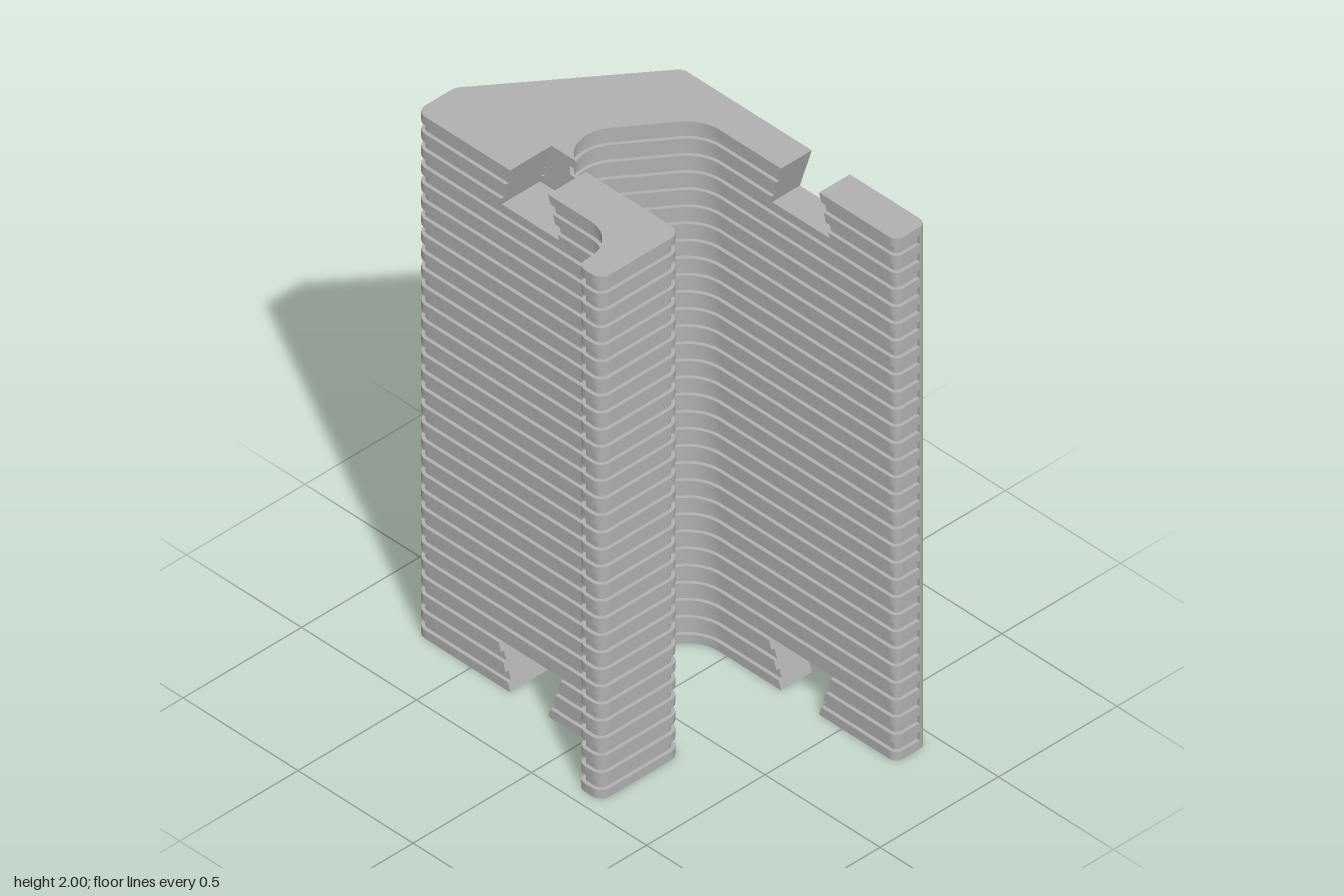
import * as THREE from 'three';
import { mergeGeometries } from 'three/addons/utils/BufferGeometryUtils.js';

const LAYERS = 61;            // alternating ribs and grooves
const H = 2 / LAYERS;         // height of one layer
const NOTCH = 5;              // layers taken up by the dovetails at each end
const GROOVE = 0.013;         // depth of the grooves
const POCKET = 0.095;         // rear wall of the front dovetail

// Corners as [x, z, fillet radius, options], running clockwise seen from above
const A = [-0.74, 0.27, 0.04], B = [-0.74, 0.105, 0.05];
const C = [-0.325, -0.455, 0.04, { plain: 'in' }];
const D = [0.735, -0.455, 0.03, { plain: 'out' }];
const E = [0.735, -0.325, 0.03], F = [-0.1025, -0.325, 0.14];
const G = [-0.417, 0.11, 0.128];
const I = [0.25, 0.11, 0.045], J = [0.25, 0.45, 0.04];
const K = [0.145, 0.45, 0.035], L = [0.145, 0.27, 0.125];

// Square corner beside a dovetail; nz is the direction of the ribbed face there
const cut = (x, z, nz) => [x, z, 0, { nz }];
const fullProfile = [A, B, C, D, E, F, G, I, J, K, L];
const endProfiles = {
  mainEnd: [A, B, C, cut(0.235, -0.455, 0), cut(0.235, -0.325, 1), F,
    [G[0], G[1], G[2], { trim: true }], cut(-0.33, POCKET, 0), cut(-0.33, 0.27, 1)],
  hookEnd: [cut(-0.165, 0.27, 1), cut(-0.165, 0.11, -1), I, J, K, L],
  backArmEnd: [cut(0.4, -0.325, 1), cut(0.4, -0.455, 0), D, E],
};
// How far each dovetail side leans outward at its floor
const lean = { '0.235': -0.052, '0.400': 0.05, '-0.330': -0.05, '-0.165': 0.053 };

// Filleted outline, sunk by d along its normals except on the plain back
function outline(corners, d) {
  const pts = [];
  const add = (x, z, nx, nz, depth) => pts.push(new THREE.Vector2(x - nx * depth, z - nz * depth));
  corners.forEach(([x, z, r, o = {}], i) => {
    if (r === 0) return add(x, z, 0, o.nz, d);
    const n = corners.length;
    const p = new THREE.Vector2(x, z);
    let prev = corners[(i + n - 1) % n];
    // the trimmed fillet meets the straight face that would follow it
    const next = o.trim ? [x + 1, z] : corners[(i + 1) % n];
    const u1 = p.clone().sub(new THREE.Vector2(prev[0], prev[1])).normalize();
    const u2 = new THREE.Vector2(next[0], next[1]).sub(p).normalize();
    const turn = Math.atan2(u1.cross(u2), u1.dot(u2));
    const s = Math.sign(turn), t = r * Math.tan(Math.abs(turn) / 2);
    const a1 = Math.atan2(-u1.x, u1.y);
    const cx = x - u1.x * t - s * r * Math.cos(a1);
    const cz = z - u1.y * t - s * r * Math.sin(a1);
    const seg = r > 0.1 ? 16 : 6;
    const at = (k, depth) => {
      const a = a1 + turn * k / seg, nx = Math.cos(a), nz = Math.sin(a);
      add(cx + s * r * nx, cz + s * r * nz, nx, nz, depth);
    };
    if (o.plain === 'in') at(0, d);
    for (let k = 0; k <= seg; k++) at(k, o.plain ? 0 : d);
    if (o.plain === 'out') at(seg, d);
    if (o.trim) {
      // stop the curve at the pocket wall
      while (pts[pts.length - 1].y > POCKET) pts.pop();
      const dz = POCKET - cz, R = r + d;
      pts.push(new THREE.Vector2(cx - Math.sqrt(R * R - dz * dz), POCKET));
    }
  });
  return pts;
}

// One slab of the profile between two heights
function slab(corners, layer, leaning) {
  const pts = outline(corners, layer % 2 ? GROOVE : 0);
  const shape = new THREE.Shape(pts.map(p => new THREE.Vector2(p.x, -p.y)));
  const geo = new THREE.ExtrudeGeometry(shape, { depth: H, bevelEnabled: false });
  geo.rotateX(-Math.PI / 2);
  geo.translate(0, layer * H, 0);
  if (leaning) {
    const pos = geo.attributes.position;
    for (let i = 0; i < pos.count; i++) {
      const shift = lean[pos.getX(i).toFixed(3)];
      if (shift === undefined) continue;
      const y = pos.getY(i);
      pos.setX(i, pos.getX(i) + shift * Math.min(y, 2 - y) / (NOTCH * H));
    }
    geo.computeVertexNormals();
  }
  return geo;
}

export function createModel() {
  const group = new THREE.Group();
  group.name = 'ribbedHookProfile';
  const grey = new THREE.MeshStandardMaterial({ color: 0xb0b0b0 });
  grey.name = 'grey';

  const addPart = (name, corners, from, to, leaning) => {
    const slabs = [];
    for (let i = from; i < to; i++) slabs.push(slab(corners, i, leaning));
    const mesh = new THREE.Mesh(mergeGeometries(slabs), grey);
    mesh.name = name;
    group.add(mesh);
  };

  // Uninterrupted middle, then the dovetailed ends
  addPart('ribbedBody', fullProfile, NOTCH, LAYERS - NOTCH, false);
  for (const [name, corners] of Object.entries(endProfiles)) {
    addPart(name + 'Bottom', corners, 0, NOTCH, true);
    addPart(name + 'Top', corners, LAYERS - NOTCH, LAYERS, true);
  }
  return group;
}
